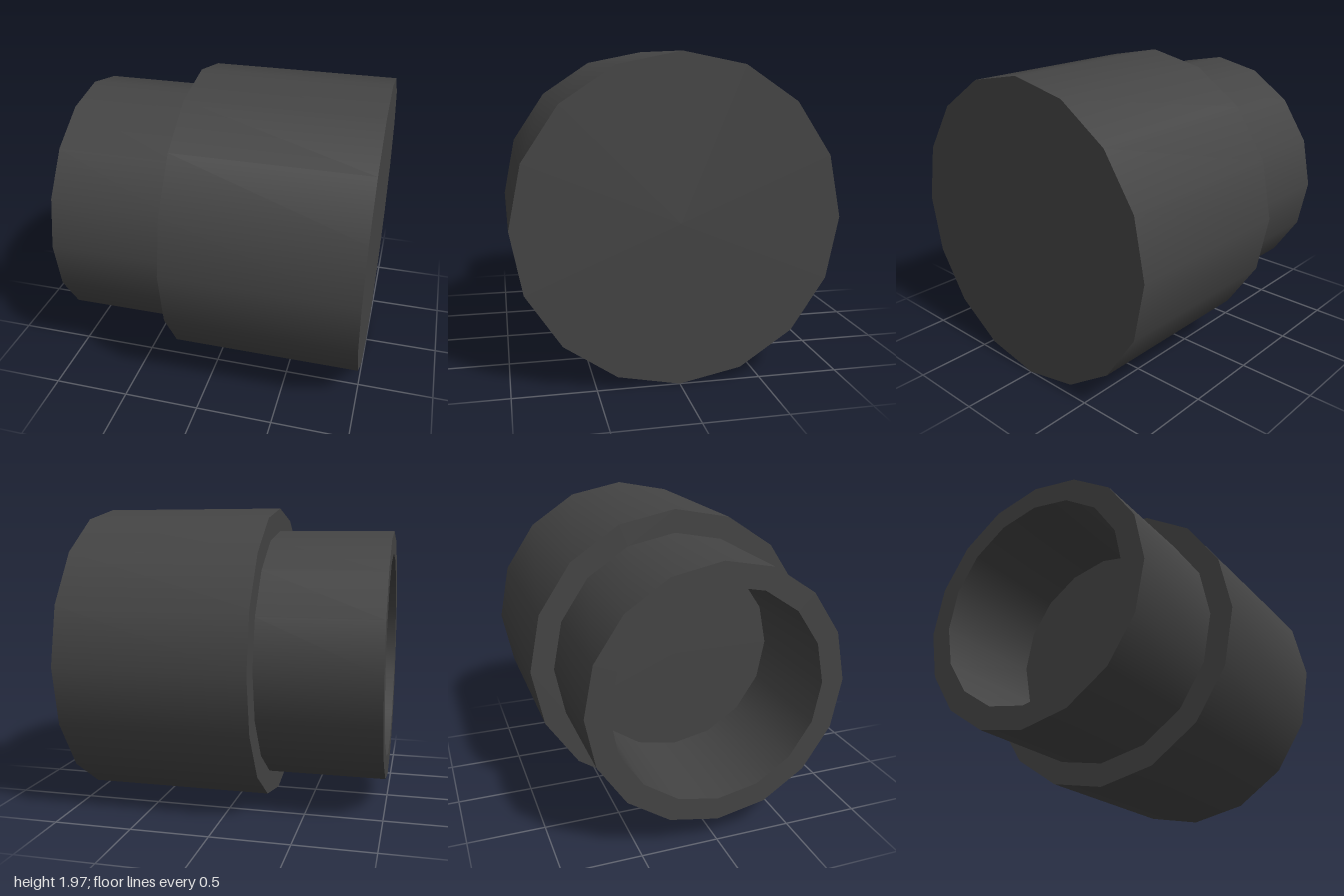
import * as THREE from 'three';

const SIDES = 16;
const BODY_R = 0.985, NECK_R = 0.832, BORE_R = 0.685;
const END_X = 1, STEP_X = -0.23, RIM_X = -1;

export function createModel() {
  const group = new THREE.Group();
  const material = new THREE.MeshStandardMaterial({ color: 0x444444 });
  const inside = new THREE.MeshStandardMaterial({ color: 0x444444, side: THREE.BackSide });

  function add(name, geometry, x, mat = material) {
    const mesh = new THREE.Mesh(geometry, mat);
    mesh.name = name;
    mesh.position.set(x, BODY_R, 0);
    group.add(mesh);
  }

  // smooth-sided tube wall lying along x
  function wall(name, radius, x0, x1, mat) {
    const g = new THREE.CylinderGeometry(radius, radius, x1 - x0, SIDES, 1, true);
    add(name, g.rotateZ(Math.PI / 2), (x0 + x1) / 2, mat);
  }

  // flat disc or ring facing +x (dir 1) or -x (dir -1)
  function face(name, inner, outer, x, dir) {
    const g = inner > 0
      ? new THREE.RingGeometry(inner, outer, SIDES)
      : new THREE.CircleGeometry(outer, SIDES);
    add(name, g.rotateY(dir * Math.PI / 2), x);
  }

  // wide closed body
  wall('bodyWall', BODY_R, STEP_X, END_X);
  face('bodyEnd', 0, BODY_R, END_X, 1);
  face('bodyShoulder', NECK_R, BODY_R, STEP_X, -1);

  // hollow neck
  wall('neckWall', NECK_R, RIM_X, STEP_X);
  face('neckRim', BORE_R, NECK_R, RIM_X, -1);
  wall('neckBore', BORE_R, RIM_X, STEP_X, inside);
  face('boreFloor', 0, BORE_R, STEP_X, -1);

  return group;
}
